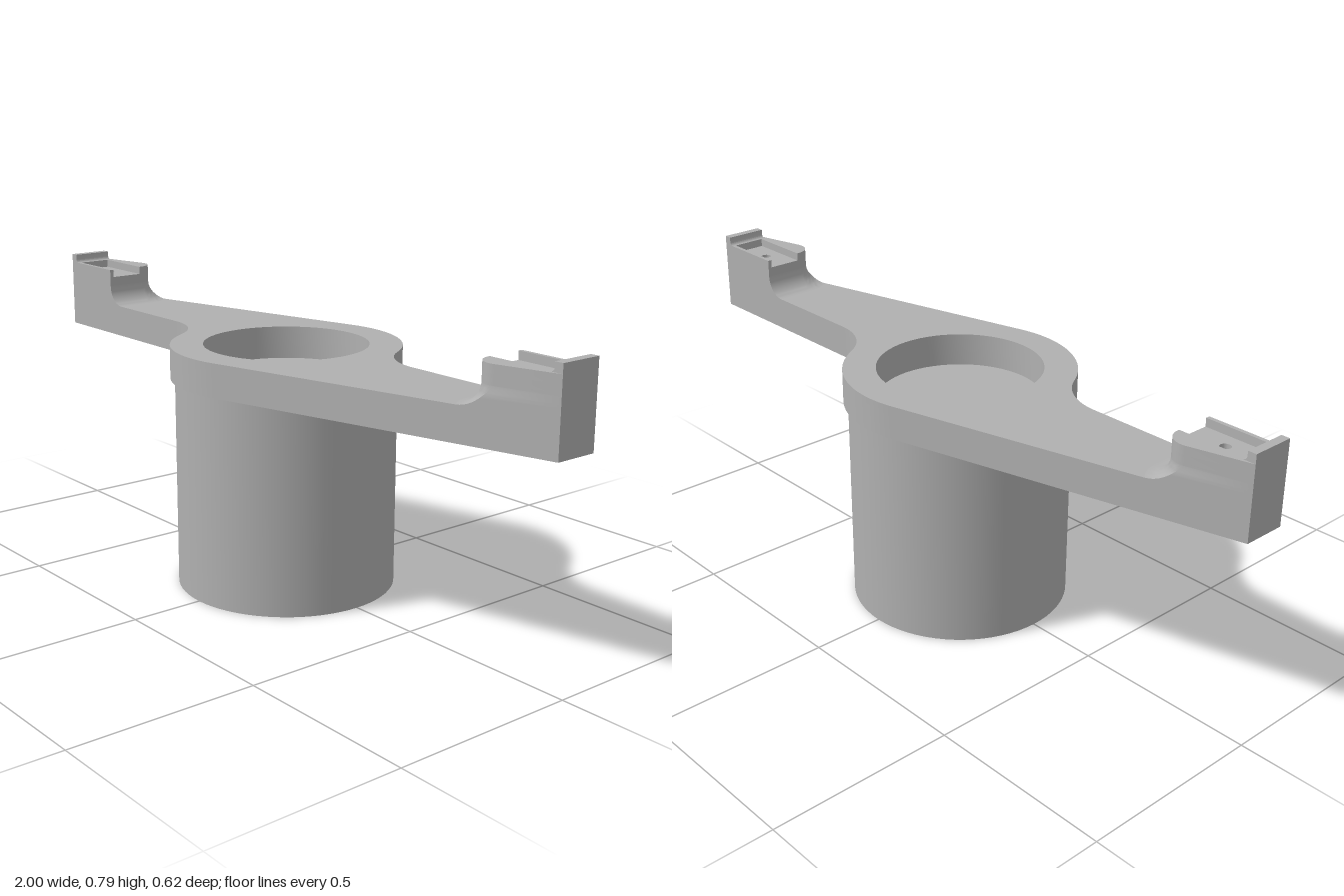
import * as THREE from 'three';
import { toCreasedNormals } from 'three/addons/utils/BufferGeometryUtils.js';

const HUB = 0.31, HALF = 0.058;            // hub radius, half width of the arm tips
const PLATE_BOTTOM = 0.573, PLATE_TOP = 0.663;
const BLOCK_IN = 0.78, BLOCK_TOP = 0.767, CHANNEL_Y = 0.745, LIP_TOP = 0.791;
const CORNER = 0.05, FILLET = 0.055;       // block corner radius, foot fillet radius
// angle of the slanted edge's normal, tangent to the hub
const TANGENT = Math.atan2(HALF, 1) + Math.acos(HUB / Math.hypot(1, HALF));
const SLOPE = 1 / Math.tan(TANGENT);

const V = (x, y) => new THREE.Vector2(x, y);
const arc = (cx, cy, r, a0, a1, n) => Array.from({ length: n + 1 }, (_, i) => {
  const a = a0 + (a1 - a0) * i / n;
  return V(cx + r * Math.cos(a), cy + r * Math.sin(a));
});

// Extrude a plan outline (x, z) between two heights
function slab(points, y0, y1, hole) {
  const shape = new THREE.Shape(points);
  if (hole) shape.holes.push(new THREE.Path(hole));
  const g = new THREE.ExtrudeGeometry(shape, { depth: y1 - y0, bevelEnabled: false });
  g.rotateX(Math.PI / 2).translate(0, y1, 0);
  return toCreasedNormals(g, 0.5);
}

// Plan of the two-armed plate: one half, then the same half turned by 180 degrees
function plateOutline() {
  const fx = 0.43;
  const r = (fx * fx + HALF * HALF - HUB * HUB) / (2 * (HUB - HALF));
  const cz = -HALF - r;
  const a = Math.atan2(cz, fx);
  const half = [
    V(1, HALF), V(1, -HALF),
    ...arc(fx, cz, r, Math.PI / 2, a + Math.PI, 16),
    ...arc(0, 0, HUB, a, TANGENT - Math.PI, 28).slice(1),
  ];
  return [...half, ...half.map((p) => V(-p.x, -p.y))];
}

// Arc of the block's rounded corner, grown by d and clipped by the slanted edge
function cornerArc(d) {
  const cx = BLOCK_IN + CORNER;
  const cz = HALF + (1 - cx) * SLOPE - CORNER / Math.sin(TANGENT);
  const end = TANGENT + Math.acos(CORNER / (CORNER + d));
  return arc(cx, cz, CORNER + d, Math.PI, end, 10);
}
const blockOutline = (d) => [V(1, -HALF), V(BLOCK_IN - d, -HALF), ...cornerArc(d), V(1, HALF)];

// Foot of the block, flaring out into the plate
function footGeometry() {
  const pos = [], index = [], levels = 10;
  let n = 0;
  for (let j = 0; j <= levels; j++) {
    const t = j / levels * Math.PI / 2;
    const ring = blockOutline(FILLET * (1 - Math.sin(t)));
    n = ring.length;
    ring.forEach((p) => pos.push(p.x, PLATE_TOP + FILLET * (1 - Math.cos(t)), p.y));
  }
  for (let j = 0; j < levels; j++) {
    for (let i = 0; i < n; i++) {
      const a = j * n + i, b = j * n + (i + 1) % n;
      index.push(a, b, b + n, a, b + n, a + n);
    }
  }
  const g = new THREE.BufferGeometry();
  g.setAttribute('position', new THREE.Float32BufferAttribute(pos, 3));
  g.setIndex(index);
  return toCreasedNormals(g, 0.6);
}

// End lip with a small fillet at its foot
function lipGeometry() {
  const s = new THREE.Shape([
    V(1, CHANNEL_Y), V(1, LIP_TOP), V(0.977, LIP_TOP),
    ...arc(0.965, BLOCK_TOP + 0.012, 0.012, 0, -Math.PI / 2, 6), V(0.965, CHANNEL_Y),
  ]);
  const g = new THREE.ExtrudeGeometry(s, { depth: 2 * HALF, bevelEnabled: false });
  return toCreasedNormals(g.translate(0, 0, -HALF), 0.5);
}

export function createModel() {
  const model = new THREE.Group();
  const grey = new THREE.MeshStandardMaterial({ color: 0xb0b0b0 });
  grey.name = 'grey';
  const add = (parent, name, geometry) => {
    const mesh = new THREE.Mesh(geometry, grey);
    mesh.name = name;
    parent.add(mesh);
    return mesh;
  };

  // Solid post; its top is the floor of the plate's round recess
  add(model, 'post', new THREE.CylinderGeometry(0.298, 0.298, PLATE_BOTTOM, 72))
    .position.y = PLATE_BOTTOM / 2;
  add(model, 'armPlate',
    slab(plateOutline(), PLATE_BOTTOM, PLATE_TOP, arc(0, 0, 0.222, 0, Math.PI * 2, 64).slice(1)));

  // End blocks, each with a shallow channel, a pin hole and a lip
  const inner = 0.047;
  const foot = footGeometry(), lip = lipGeometry();
  const top = blockOutline(0), holeY = CHANNEL_Y - 0.02;
  const pinHole = arc(0.875, 0, 0.014, 0, Math.PI * 2, 20).slice(1);
  for (const [name, turn] of [['leftEnd', 0], ['rightEnd', Math.PI]]) {
    const end = new THREE.Group();
    end.name = name;
    end.rotation.y = turn;
    add(end, 'blockFoot', foot);
    add(end, 'blockCore', slab(top, PLATE_TOP + FILLET, holeY));
    add(end, 'channelFloor', slab(top, holeY, CHANNEL_Y, pinHole));
    add(end, 'narrowRail', slab(
      [V(1, -HALF), V(BLOCK_IN, -HALF), V(BLOCK_IN, -inner), V(1, -inner)], CHANNEL_Y, BLOCK_TOP));
    add(end, 'wideRail', slab(
      [V(1, inner), V(BLOCK_IN, inner), ...cornerArc(0), V(1, HALF)], CHANNEL_Y, BLOCK_TOP));
    add(end, 'endLip', lip);
    model.add(end);
  }
  return model;
}
